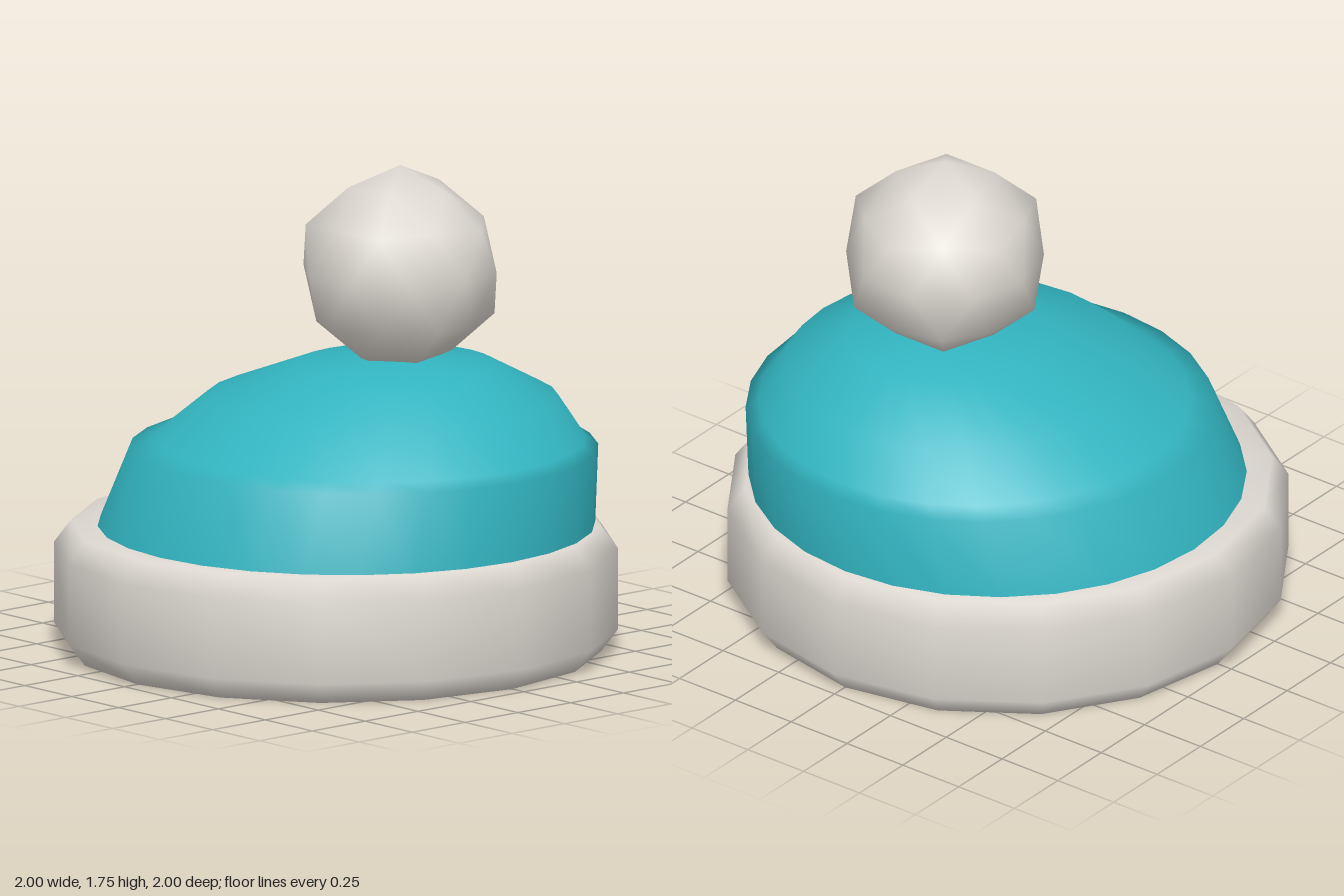
import * as THREE from 'three';
import { mergeVertices } from 'three/addons/utils/BufferGeometryUtils.js';

const wool = new THREE.MeshStandardMaterial({ color: 0xdcd7d0, side: THREE.DoubleSide });
wool.name = 'paleWool';
const teal = new THREE.MeshStandardMaterial({ color: 0x32b4c0, side: THREE.DoubleSide });
teal.name = 'tealKnit';

// Weld vertices and give smooth normals
function smooth(geometry) {
  geometry.deleteAttribute('uv');
  geometry.deleteAttribute('normal');
  const welded = mergeVertices(geometry, 1e-4);
  welded.computeVertexNormals();
  return welded;
}

function lathe(profile, sides) {
  return new THREE.LatheGeometry(profile.map(([r, y]) => new THREE.Vector2(r, y)), sides);
}

// Crown: rings [radius, height, lean], each pushed along +x and +z by its lean
function crownGeometry() {
  const rings = [
    [0.885, 0.43, 0.023], [0.83, 0.73, 0.07], [0.765, 0.76, 0.085],
    [0.625, 0.91, 0.115], [0.355, 1.03, 0.15], [0.12, 1.06, 0.16], [0, 1.062, 0.16],
  ];
  const geometry = lathe(rings, 28);
  const p = geometry.attributes.position;
  for (let i = 0; i < p.count; i++) {
    const lean = rings[i % rings.length][2];
    p.setX(i, p.getX(i) + lean);
    p.setZ(i, p.getZ(i) + lean);
  }
  return smooth(geometry);
}

// Pompom: subdivided icosahedron whose twelve corners stick out a little
function pompomGeometry() {
  const geometry = new THREE.IcosahedronGeometry(1, 1);
  geometry.rotateZ(-Math.atan(2 / (1 + Math.sqrt(5))));
  const p = geometry.attributes.position;
  const v = new THREE.Vector3();
  for (let i = 0; i < p.count; i++) {
    v.fromBufferAttribute(p, i);
    const h = Math.abs(v.y);
    const isCorner = h > 0.99 || Math.abs(h - 0.447) < 0.02;
    v.multiplyScalar(isCorner ? 0.375 : 0.35);
    p.setXYZ(i, v.x, v.y, v.z);
  }
  return smooth(geometry);
}

export function createModel() {
  const hat = new THREE.Group();
  hat.name = 'bobbleHat';
  const add = (name, geometry, material) => {
    const mesh = new THREE.Mesh(geometry, material);
    mesh.name = name;
    hat.add(mesh);
    return mesh;
  };

  // Sixteen-sided folded brim
  add('brim', smooth(lathe([
    [0.79, 0], [0.94, 0], [1, 0.08], [1, 0.37], [0.94, 0.45], [0.8, 0.45],
  ], 16)), wool);

  // Round inner edge of the brim, and the lip above the lining
  add('brimInnerWall', lathe([[0.75, 0.16], [0.75, 0]], 32), wool);
  add('brimInnerEdge', lathe([[0.75, 0], [0.82, 0]], 32), wool);
  add('brimInnerLip', lathe([[0.8, 0.45], [0.69, 0.4], [0.73, 0.35]], 32), wool);

  // Lining inside the brim
  add('liningWall', lathe([[0.73, 0.36], [0.73, 0.15]], 32), teal);
  add('liningHem', lathe([[0.73, 0.15], [0.76, 0.15]], 32), teal);

  add('crown', crownGeometry(), teal);
  add('pompom', pompomGeometry(), wool).position.set(0.17, 1.37, 0.15);

  return hat;
}
